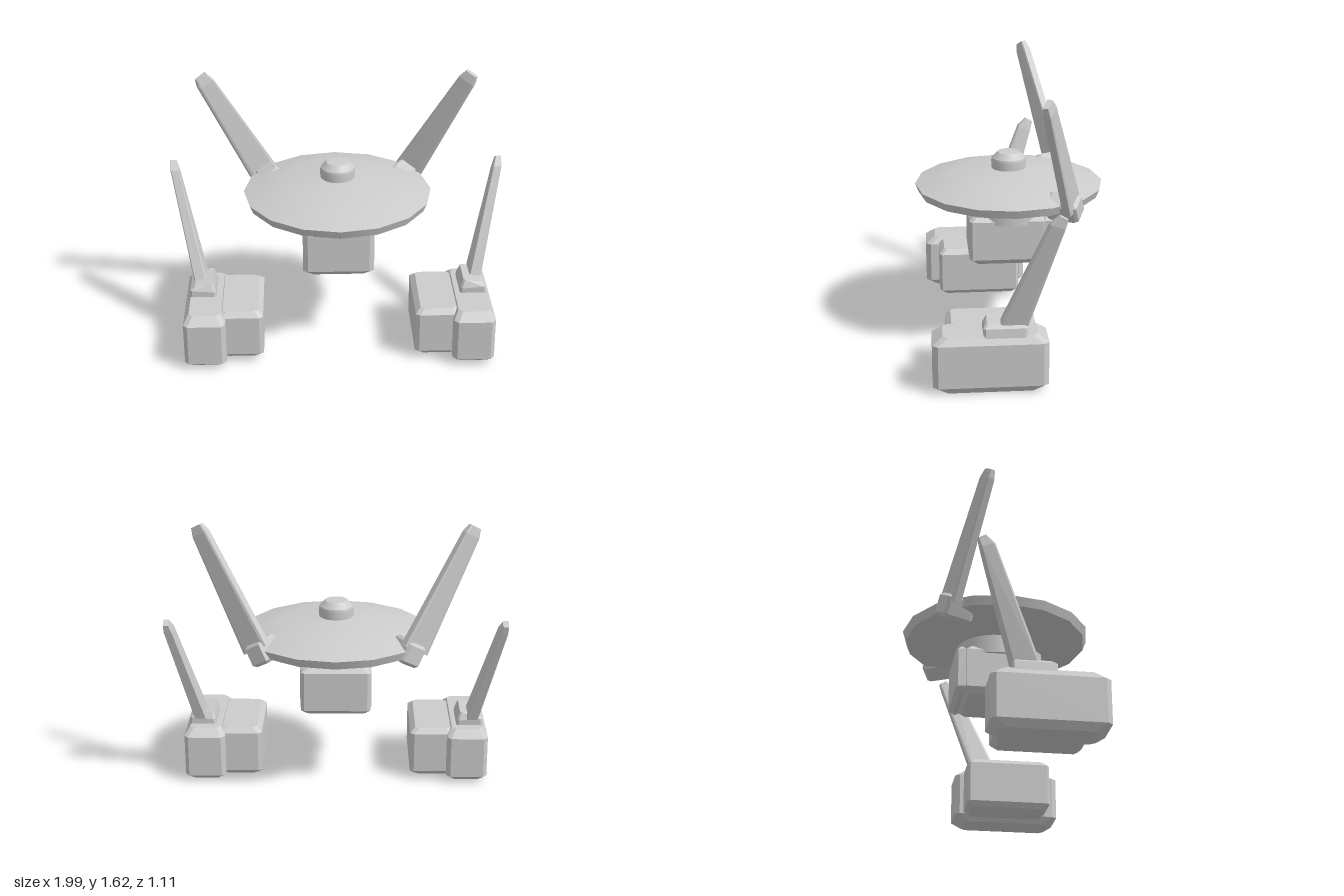
import * as THREE from 'three';
import { ConvexGeometry } from 'three/addons/geometries/ConvexGeometry.js';

const V = (x, y, z) => new THREE.Vector3(x, y, z);

export function createModel() {
  const model = new THREE.Group();
  model.name = 'model';
  const grey = new THREE.MeshStandardMaterial({ color: 0xcccccc });
  grey.name = 'light grey';

  const add = (name, geometry) => {
    const mesh = new THREE.Mesh(geometry, grey);
    mesh.name = name;
    model.add(mesh);
    return mesh;
  };

  // Solid through cross-sections [centre, half width, half depth, corner cut u, corner cut v]
  const hull = (name, sections) => {
    const points = [];
    for (const [c, u, v, cu = 0.2, cv = 0.2] of sections) {
      for (const a of [-1, 1]) for (const b of [-1, 1]) {
        points.push(c.clone().addScaledVector(u, a * (1 - cu)).addScaledVector(v, b));
        points.push(c.clone().addScaledVector(u, a).addScaledVector(v, b * (1 - cv)));
      }
    }
    return add(name, new ConvexGeometry(points));
  };

  // Box between two corners with bevels bx, by, bz
  const bevelBox = (name, [x0, y0, z0], [x1, y1, z1], bx, by, bz) => {
    const cx = (x0 + x1) / 2, cz = (z0 + z1) / 2;
    const hx = Math.abs(x1 - x0) / 2, hz = Math.abs(z1 - z0) / 2;
    const ring = (y, i) => {
      const wx = hx - i * bx, wz = hz - i * bz;
      return [V(cx, y, cz), V(wx, 0, 0), V(0, 0, wz), bx * 0.8 / wx, bz * 0.5 / wz];
    };
    return hull(name, [ring(y0, 1), ring(y0 + by, 0), ring(y1 - by, 0), ring(y1, 1)]);
  };

  const lathe = (name, profile, sides) =>
    add(name, new THREE.LatheGeometry(profile.map(([r, y]) => new THREE.Vector2(r, y)), sides));

  // Saucer: underside, rim and gently domed top
  lathe('saucerUnderside', [[0, 0.835], [0.24, 0.84], [0.4, 0.86], [0.535, 0.885]], 16);
  lathe('saucerRim', [[0.535, 0.885], [0.555, 0.935]], 16);
  lathe('saucerTop', [[0.555, 0.935], [0.45, 0.967], [0.32, 1.0], [0.1, 1.025], [0, 1.03]], 16);

  // Knob on top
  lathe('knobSide', [[0.1, 1.01], [0.103, 1.07], [0.098, 1.087]], 24);
  lathe('knobBevel', [[0.098, 1.087], [0.065, 1.12]], 24);
  lathe('knobCap', [[0.065, 1.12], [0, 1.122]], 24);

  // Neck and hanging central pod with a back panel
  add('neck', new THREE.CylinderGeometry(0.232, 0.232, 0.12, 32)).position.y = 0.79;
  bevelBox('centralPod', [-0.21, 0.48, -0.21], [0.21, 0.785, 0.245], 0.035, 0.035, 0.035);
  bevelBox('centralPodBack', [-0.205, 0.49, -0.255], [0.205, 0.775, -0.18], 0.025, 0.025, 0.025);

  for (const s of [-1, 1]) {
    const side = s > 0 ? 'left' : 'right';

    // Twin foot pods
    bevelBox(side + 'OuterPod', [s * 0.67, 0, -0.153], [s * 0.915, 0.335, 0.487], 0.03, 0.042, 0.058);
    bevelBox(side + 'InnerPod', [s * 0.45, 0.025, -0.1], [s * 0.72, 0.33, 0.405], 0.03, 0.03, 0.03);

    // Mount and leaning fin on the pod
    hull(side + 'PodMount', [
      [V(s * 0.81, 0.32, 0.085), V(0.083, 0, 0), V(0, 0, 0.122), 0.15, 0.1],
      [V(s * 0.81, 0.37, 0.085), V(0.075, 0.006 * s, 0), V(0, 0, 0.122), 0.15, 0.1],
      [V(s * 0.805, 0.405, 0.085), V(0.053, -0.008 * s, 0), V(0, 0, 0.1), 0.15, 0.1],
    ]);
    hull(side + 'PodFin', [
      [V(s * 0.825, 0.37, 0.043), V(0.038, 0, 0), V(0, 0, 0.08)],
      [V(s * 0.97, 0.995, -0.18), V(0.026, 0, 0), V(0, 0.014, 0.04)],
      [V(s * 0.98, 1.045, -0.212), V(0.017, 0, 0), V(0, 0.012, 0.022)],
    ]);

    // Tall swept fin: d runs up its length, w across it, t through it
    const d = V(s * 0.42, 0.88, 0.22).normalize();
    const t = V(-s * 0.46, 0, 0.89).normalize();
    const w = new THREE.Vector3().crossVectors(d, t).normalize();
    const section = (c, a, b) => [c, w.clone().multiplyScalar(a), t.clone().multiplyScalar(b)];
    hull(side + 'TallFin', [
      section(V(s * 0.45, 0.925, -0.32), 0.084, 0.028),
      section(V(s * 0.765, 1.56, -0.155), 0.05, 0.025),
      section(V(s * 0.788, 1.605, -0.143), 0.036, 0.016),
    ]);

    // Clamp holding the tall fin to the saucer edge
    const root = V(s * 0.41, 0.905, -0.285);
    hull(side + 'FinClamp', [[-0.068, 0.8], [-0.05, 1], [0.05, 1], [0.068, 0.8]].map(([k, f]) =>
      section(root.clone().addScaledVector(d, k), 0.063 * f, 0.095 * f)));
  }
  return model;
}
